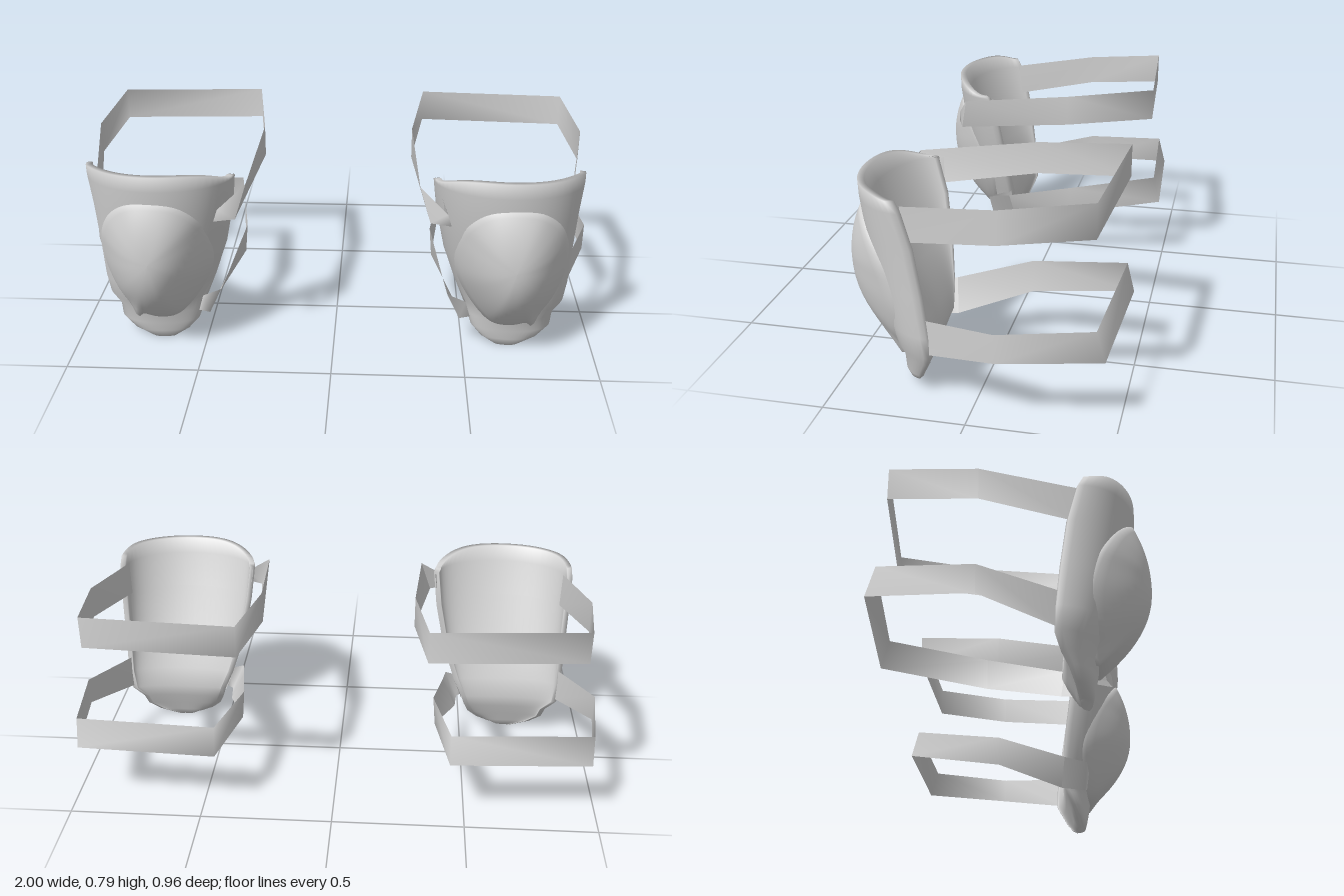
import * as THREE from 'three';

const grey = new THREE.MeshStandardMaterial({ color: 0xd2d2d2, side: THREE.DoubleSide });
grey.name = 'plain grey';

// Shell cross-sections from the top down: y, inner x, outer x, edge z, front z, lining z
const LEVELS = [
  [0.757, 0.372, 0.913, 0.245, 0.435, 0.412],
  [0.70, 0.365, 0.917, 0.225, 0.435, 0.39],
  [0.57, 0.38, 0.912, 0.19, 0.42, 0.34],
  [0.40, 0.415, 0.907, 0.165, 0.385, 0.26],
  [0.25, 0.465, 0.905, 0.148, 0.34, 0.19],
  [0.17, 0.50, 0.895, 0.145, 0.31, 0.175],
  [0.12, 0.515, 0.855, 0.165, 0.292, 0.185],
  [0.07, 0.535, 0.845, 0.19, 0.284, 0.205],
  [0.03, 0.575, 0.80, 0.21, 0.276, 0.215],
  [0.0, 0.63, 0.73, 0.225, 0.268, 0.23],
];

// Outline of the knee cup: x, y, z
const CUP = [
  [0.66, 0.65, 0.432], [0.565, 0.635, 0.42], [0.50, 0.58, 0.39], [0.463, 0.5, 0.337],
  [0.452, 0.41, 0.298], [0.465, 0.32, 0.278], [0.505, 0.235, 0.275], [0.56, 0.16, 0.285],
  [0.61, 0.12, 0.296], [0.67, 0.11, 0.30], [0.73, 0.12, 0.296], [0.785, 0.155, 0.286],
  [0.835, 0.22, 0.275], [0.868, 0.32, 0.275], [0.872, 0.42, 0.30], [0.86, 0.5, 0.335],
  [0.82, 0.58, 0.38], [0.75, 0.637, 0.42],
];

// Strap stations: lower edge x, y, z, then upper edge x, y, z
const UPPER_STRAP = [
  [0.875, 0.585, 0.22, 0.88, 0.712, 0.235], [0.945, 0.635, -0.1, 0.945, 0.755, -0.1],
  [0.905, 0.668, -0.41, 0.905, 0.79, -0.41], [0.34, 0.668, -0.445, 0.34, 0.79, -0.445],
  [0.29, 0.635, -0.1, 0.29, 0.755, -0.1], [0.355, 0.572, 0.37, 0.315, 0.70, 0.34],
];
const LOWER_STRAP = [
  [0.885, 0.18, 0.16, 0.89, 0.312, 0.16], [1.0, 0.245, -0.1, 1.0, 0.35, -0.1],
  [0.955, 0.265, -0.455, 0.955, 0.375, -0.425], [0.435, 0.265, -0.482, 0.435, 0.375, -0.455],
  [0.385, 0.20, -0.1, 0.375, 0.32, -0.1], [0.475, 0.125, 0.165, 0.42, 0.245, 0.18],
];
// Folded ends that hook onto the inner side of the shell
const UPPER_HOOK = [
  [0.355, 0.572, 0.37, 0.315, 0.70, 0.34], [0.43, 0.575, 0.40, 0.415, 0.62, 0.395],
  [0.385, 0.59, 0.23, 0.37, 0.70, 0.235],
];
const LOWER_HOOK = [
  [0.475, 0.125, 0.165, 0.42, 0.245, 0.18], [0.485, 0.115, 0.265, 0.435, 0.225, 0.275],
  [0.525, 0.13, 0.275, 0.505, 0.20, 0.285], [0.50, 0.16, 0.18, 0.465, 0.25, 0.18],
];

// Build a mesh, mirrored in x when side is -1
function makeMesh(name, points, quads, side) {
  const index = [];
  for (const [a, b, c, d] of quads) {
    if (side > 0) index.push(a, b, c, a, c, d);
    else index.push(a, c, b, a, d, c);
  }
  const g = new THREE.BufferGeometry();
  const flat = points.flatMap(([x, y, z]) => [x * side, y, z]);
  g.setAttribute('position', new THREE.Float32BufferAttribute(flat, 3));
  g.setIndex(index);
  g.computeVertexNormals();
  const mesh = new THREE.Mesh(g, grey);
  mesh.name = name;
  return mesh;
}

// Thick curved shell with an inner lining
function shell(side) {
  const N = 28, ring = 2 * (N + 1), points = [], quads = [];
  LEVELS.forEach(([y, xi, xo, ze, zf, zb], i) => {
    const c = (xi + xo) / 2, w = (xo - xi) / 2;
    const arc = (k, half, front, edge) => {
      const t = Math.PI * k / N, u = -Math.cos(t), bulge = Math.sin(t);
      const drop = i > 0 ? 0 : u < 0 ? 0.05 * u ** 4 : 0.02 * u ** 16;
      const lift = 0.012 * (1 - u) * (1 - bulge);
      return [c + half * u, y - drop, edge + lift + (front - edge) * bulge];
    };
    for (let k = 0; k <= N; k++) points.push(arc(k, w, zf, ze + 0.006));
    for (let k = N; k >= 0; k--) points.push(arc(k, w - 0.02, zb, ze));
  });
  const last = (LEVELS.length - 1) * ring;
  for (let a = 0; a < last; a += ring) {
    for (let j = 0; j < ring; j++) {
      const n = (j + 1) % ring, b = a + ring;
      quads.push([a + j, b + j, b + n, a + n]);
    }
  }
  // Rims along the top and bottom
  for (let f = 0; f < N; f++) {
    const b = ring - 1 - f;
    quads.push([f, f + 1, b - 1, b]);
    quads.push([last + b, last + b - 1, last + f + 1, last + f]);
  }
  return makeMesh('padShell', points, quads, side);
}

// Domed knee cup with a short rim behind its edge and a small point at the bottom
function cup(side) {
  const curve = new THREE.CatmullRomCurve3(
    CUP.map((p) => new THREE.Vector3(...p)), true, 'catmullrom', 0.5);
  const M = 72, R = 12, cx = 0.665, cy = 0.43, cz = 0.482, points = [], quads = [];
  for (let r = 0; r <= R + 1; r++) {
    const s = Math.min(1, r / R);
    for (let j = 0; j < M; j++) {
      const p = curve.getPoint(j / M);
      const tip = p.y < 0.3 ? 0.035 * Math.exp(-(((p.x - 0.765) / 0.018) ** 2)) * s ** 8 : 0;
      const z = r > R ? p.z - 0.02 : p.z + (cz - p.z) * (1 - s ** 2.1);
      points.push([cx + (p.x - cx) * s, cy + (p.y - cy) * s - tip, z]);
      if (r > 0) {
        const n = (j + 1) % M, a = (r - 1) * M, b = a + M;
        quads.push([a + j, b + j, b + n, a + n]);
      }
    }
  }
  return makeMesh('kneeCup', points, quads, side);
}

// Flat ribbon through a list of stations
function ribbon(name, stations, side) {
  const points = [], quads = [];
  stations.forEach((s, i) => {
    points.push(s.slice(0, 3), s.slice(3));
    if (i > 0) quads.push([2 * i - 2, 2 * i, 2 * i + 1, 2 * i - 1]);
  });
  return makeMesh(name, points, quads, side);
}

export function createModel() {
  const model = new THREE.Group();
  model.name = 'kneePads';
  for (const side of [1, -1]) {
    const pad = new THREE.Group();
    pad.name = side > 0 ? 'leftPad' : 'rightPad';
    pad.add(
      shell(side),
      cup(side),
      ribbon('upperStrap', UPPER_STRAP, side),
      ribbon('upperStrapHook', UPPER_HOOK, side),
      ribbon('lowerStrap', LOWER_STRAP, side),
      ribbon('lowerStrapHook', LOWER_HOOK, side),
    );
    model.add(pad);
  }
  return model;
}
